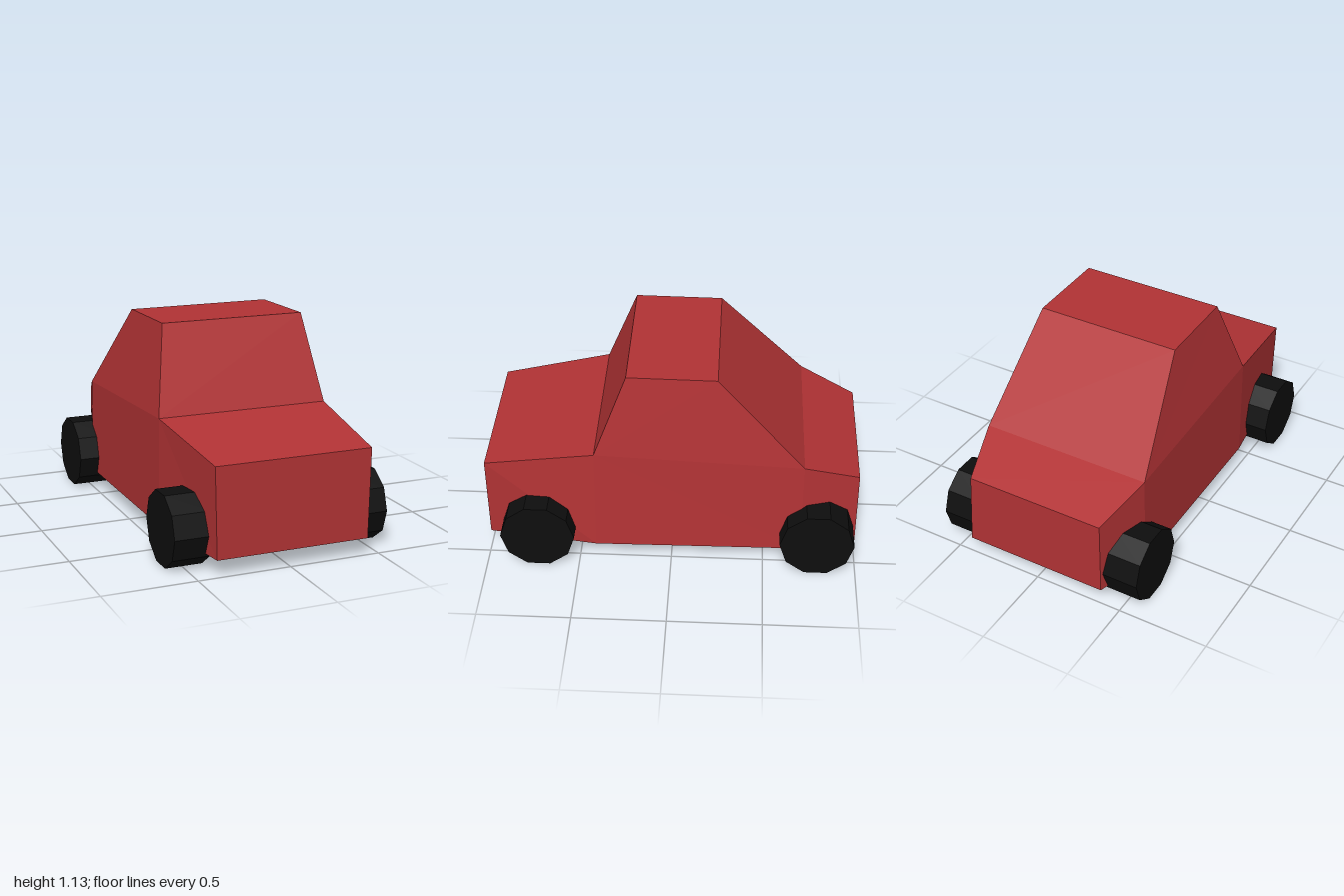
import * as THREE from 'three';

const paint = new THREE.MeshStandardMaterial({ color: 0xb23335 });
paint.name = 'red paint';
const rubber = new THREE.MeshStandardMaterial({ color: 0x0e0e0e });
rubber.name = 'black rubber';

// Flat-faced geometry from four-cornered faces, corners counter-clockwise from outside
function fromQuads(quads) {
  const points = quads.flatMap(([a, b, c, d]) => [a, b, c, a, c, d]).flat();
  const geometry = new THREE.BufferGeometry();
  geometry.setAttribute('position', new THREE.Float32BufferAttribute(points, 3));
  geometry.computeVertexNormals();
  return geometry;
}

// Faces joining two four-cornered rings, leaving out the listed sides
function loft(a, b, skip = []) {
  return [0, 1, 2, 3].filter((i) => !skip.includes(i)).map((i) => {
    const j = (i + 1) % 4;
    return [a[j], a[i], b[i], b[j]];
  });
}

// Body section at z: bottom left, bottom right, top right, top left in x
function section(z, top, bl, br, tr, tl) {
  return [[bl, 0.09, z], [br, 0.09, z], [tr, top, z], [tl, top, z]];
}

export function createModel() {
  const model = new THREE.Group();
  model.name = 'car';

  // Lower body: nose, windscreen base, rear shoulder, tail
  const nose = section(1, 0.57, -0.4, 0.435, 0.445, -0.41);
  const cowl = section(0.41, 0.67, -0.48, 0.515, 0.475, -0.475);
  const shoulder = section(-0.7, 0.625, -0.48, 0.5, 0.475, -0.475);
  const tail = section(-1, 0.51, -0.39, 0.415, 0.39, -0.387);
  const body = new THREE.Mesh(fromQuads([
    nose,
    ...loft(nose, cowl),
    ...loft(cowl, shoulder, [2]),
    ...loft(shoulder, tail),
    [...tail].reverse(),
  ]), paint);
  body.name = 'body';
  model.add(body);

  // Cabin rising from the open top of the body
  const roof = [[-0.385, 1.13, 0.235], [0.415, 1.13, 0.235], [0.415, 1.125, -0.235], [-0.385, 1.125, -0.235]];
  const belt = [cowl[3], cowl[2], shoulder[2], shoulder[3]];
  const cabin = new THREE.Mesh(fromQuads([roof, ...loft(roof, belt)]), paint);
  cabin.name = 'cabin';
  model.add(cabin);

  // Ten-sided wheels with a flat side on the ground
  const wheelGeometry = new THREE.CylinderGeometry(0.2, 0.2, 0.2, 10).toNonIndexed();
  wheelGeometry.rotateZ(Math.PI / 2);
  wheelGeometry.computeVertexNormals();
  for (const [end, z] of [['front', 0.72], ['rear', -0.785]]) {
    for (const [side, x] of [['Left', 0.49], ['Right', -0.49]]) {
      const wheel = new THREE.Mesh(wheelGeometry, rubber);
      wheel.name = `${end}${side}Wheel`;
      wheel.position.set(x, 0.19, z);
      model.add(wheel);
    }
  }
  return model;
}
